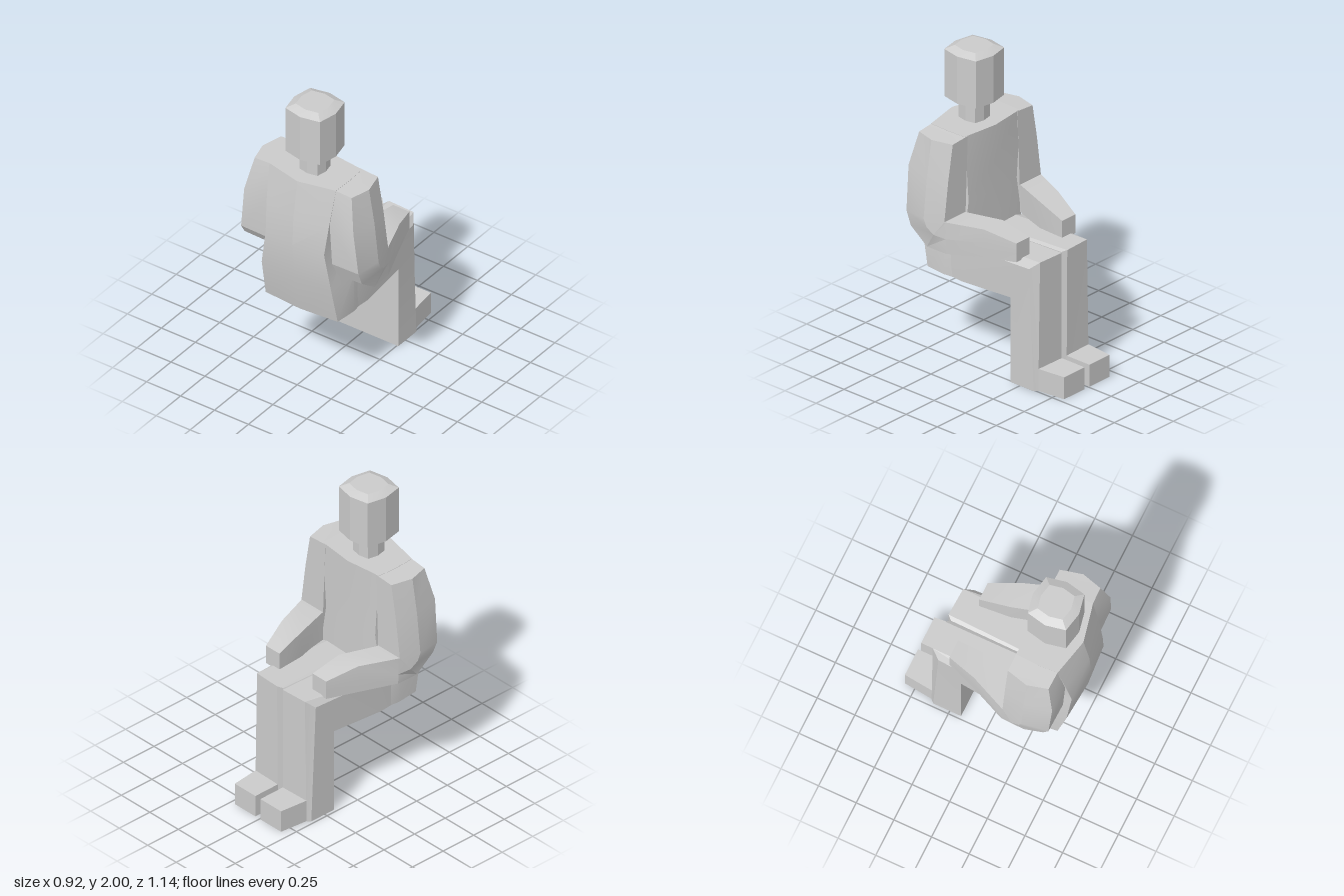
import * as THREE from 'three';
import { toCreasedNormals } from 'three/addons/utils/BufferGeometryUtils.js';

const CX = 0.015; // centre line of the body
const material = new THREE.MeshStandardMaterial({ color: 0xcccccc });

// Skin a list of rings (equal number of [x, y, z] points) and cap both ends.
function loft(name, rings) {
  const tris = [];
  const v = rings.map((r) => r.map((p) => new THREE.Vector3(...p)));
  const n = v[0].length;
  const add = (a, b, c) => {
    const area = b.clone().sub(a).cross(c.clone().sub(a)).length();
    if (area > 1e-7) tris.push([a, b, c]);
  };
  for (let i = 0; i < v.length - 1; i++) {
    for (let j = 0; j < n; j++) {
      const k = (j + 1) % n;
      add(v[i][j], v[i][k], v[i + 1][k]);
      add(v[i][j], v[i + 1][k], v[i + 1][j]);
    }
  }
  const cap = (ring, flip) => {
    const c = ring.reduce((s, p) => s.add(p), new THREE.Vector3()).divideScalar(n);
    ring.forEach((p, j) => {
      const q = ring[(j + 1) % n];
      if (flip) add(c, q, p);
      else add(c, p, q);
    });
  };
  cap(v[0], true);
  cap(v[v.length - 1], false);
  // turn the faces outward whichever way the rings run
  const volume = tris.reduce((s, [a, b, c]) => s + a.dot(b.clone().cross(c)), 0);
  const points = tris.flatMap(([a, b, c]) => (volume < 0 ? [a, c, b] : [a, b, c]));
  const geometry = new THREE.BufferGeometry().setFromPoints(points);
  const mesh = new THREE.Mesh(toCreasedNormals(geometry, 0.3), material);
  mesh.name = name;
  return mesh;
}

// Horizontal ring from half an outline of [x, z]; first and last lie on the centre line.
function mirroredRing(y, half) {
  const other = half.slice(1, -1).reverse().map(([x, z]) => [-x, z]);
  return [...half, ...other].map(([x, z]) => [CX + x, y, z]);
}

// Eight-sided ring for head and neck, nearly square.
function headRing(y, r) {
  const d = r * 0.83;
  return mirroredRing(y, [[0, r], [d, d], [r, 0], [d, -d], [0, -r]].map(([x, z]) => [x, z + 0.338]));
}

function makeTorso() {
  // y, back centre z, back corner x and z, side x, front corner z, front centre z
  const levels = [
    [0.57, 0.495, 0.265, 0.475, 0.28, 0.2, 0.18],
    [0.83, 0.55, 0.255, 0.53, 0.28, 0.19, 0.18],
    [1.08, 0.57, 0.215, 0.545, 0.225, 0.19, 0.18],
    [1.28, 0.56, 0.23, 0.515, 0.235, 0.19, 0.175],
    [1.52, 0.52, 0.245, 0.465, 0.25, 0.195, 0.167],
  ];
  return loft('torso', levels.map(([y, bz, cx, cz, sx, fz, mz]) =>
    mirroredRing(y, [[0, bz], [cx, cz], [sx, 0.33], [cx, fz], [0, mz]])));
}

function makeArm(s) {
  const lift = s < 0 ? 0.03 : 0; // one elbow sits slightly higher
  const shift = s * 0.01;
  // each ring: inner back, outer back, outer middle, outer front, inner front
  const rings = [
    [[0.22, 1.52, 0.465], [0.355, 1.51, 0.46], [0.39, 1.51, 0.33], [0.355, 1.51, 0.19], [0.22, 1.52, 0.19]],
    [[0.23, 1.28, 0.51], [0.4, 1.29, 0.505], [0.43, 1.28, 0.33], [0.395, 1.28, 0.19], [0.23, 1.28, 0.19]],
    [[0.24, 1.0, 0.5], [0.43, 1.0, 0.495], [0.46, 1.01, 0.33], [0.43, 1.02, 0.19], [0.24, 1.02, 0.19]],
    [[0.255, 0.91 + lift, 0.465], [0.43, 0.91 + lift, 0.46], [0.458, 0.96, 0.31], [0.43, 1.02, 0.19], [0.24, 1.02, 0.19]],
    [[0.265, 0.815 + lift, 0.33], [0.43, 0.812 + lift, 0.33], [0.45, 0.92, 0.26], [0.43, 1.02, 0.19], [0.24, 1.02, 0.19]],
    [[0.24, 0.81 + lift, 0.18], [0.425, 0.81 + lift, 0.18], [0.43, 0.91, 0.18], [0.425, 1.02, 0.18], [0.24, 1.02, 0.18]],
    [[0.165, 0.835, -0.05], [0.335, 0.835, -0.05], [0.34, 0.93, -0.05], [0.335, 1.02, -0.05], [0.165, 1.02, -0.05]],
    [[0.145, 0.84, -0.247], [0.264, 0.84, -0.247], [0.264, 0.9, -0.247], [0.264, 0.965, -0.247], [0.145, 0.965, -0.247]],
  ];
  return loft(s > 0 ? 'leftArm' : 'rightArm', rings.map((r, i) =>
    r.map(([x, y, z]) => [CX + s * x + (i > 5 ? 0.01 : shift * 0.2), y, z])));
}

function makeLeg(s) {
  // each ring: inner back, outer back, outer side, outer front, inner front, groove
  const rings = [
    [[0, 0.57, 0.42], [0.26, 0.57, 0.42], [0.26, 0.81, 0.42], [0.2, 0.83, 0.42], [0.015, 0.83, 0.42], [0, 0.82, 0.42]],
    [[0, 0.57, 0.18], [0.28, 0.57, 0.18], [0.28, 0.81, 0.18], [0.205, 0.835, 0.18], [0.015, 0.835, 0.18], [0, 0.825, 0.18]],
    [[0, 0.57, -0.175], [0.245, 0.57, -0.175], [0.247, 0.81, -0.325], [0.21, 0.858, -0.38], [0.025, 0.858, -0.388], [0, 0.845, -0.36]],
    [[0, 0.005, -0.175], [0.245, 0.005, -0.175], [0.245, 0.005, -0.36], [0.225, 0.005, -0.38], [0.022, 0.005, -0.385], [0, 0.005, -0.36]],
  ];
  return loft(s > 0 ? 'leftLeg' : 'rightLeg', rings.map((r) => r.map(([x, y, z]) => [CX + s * x, y, z])));
}

function makeFoot(s) {
  const end = (inner, outer, z) =>
    [[inner, 0.005], [outer, 0.005], [outer, 0.152], [inner, 0.152]].map(([x, y]) => [CX + s * x, y, z]);
  return loft(s > 0 ? 'leftFoot' : 'rightFoot', [end(0.022, 0.225, -0.36), end(0.022, 0.203, -0.568)]);
}

export function createModel() {
  const group = new THREE.Group();
  group.name = 'seatedFigure';
  group.add(makeTorso());
  for (const s of [1, -1]) group.add(makeArm(s), makeLeg(s), makeFoot(s));
  // neck and head
  group.add(loft('neck', [headRing(1.5, 0.08), headRing(1.64, 0.08)]));
  group.add(loft('head', [
    headRing(1.63, 0.09), headRing(1.66, 0.153), headRing(1.975, 0.153), headRing(2, 0.1),
  ]));
  return group;
}
